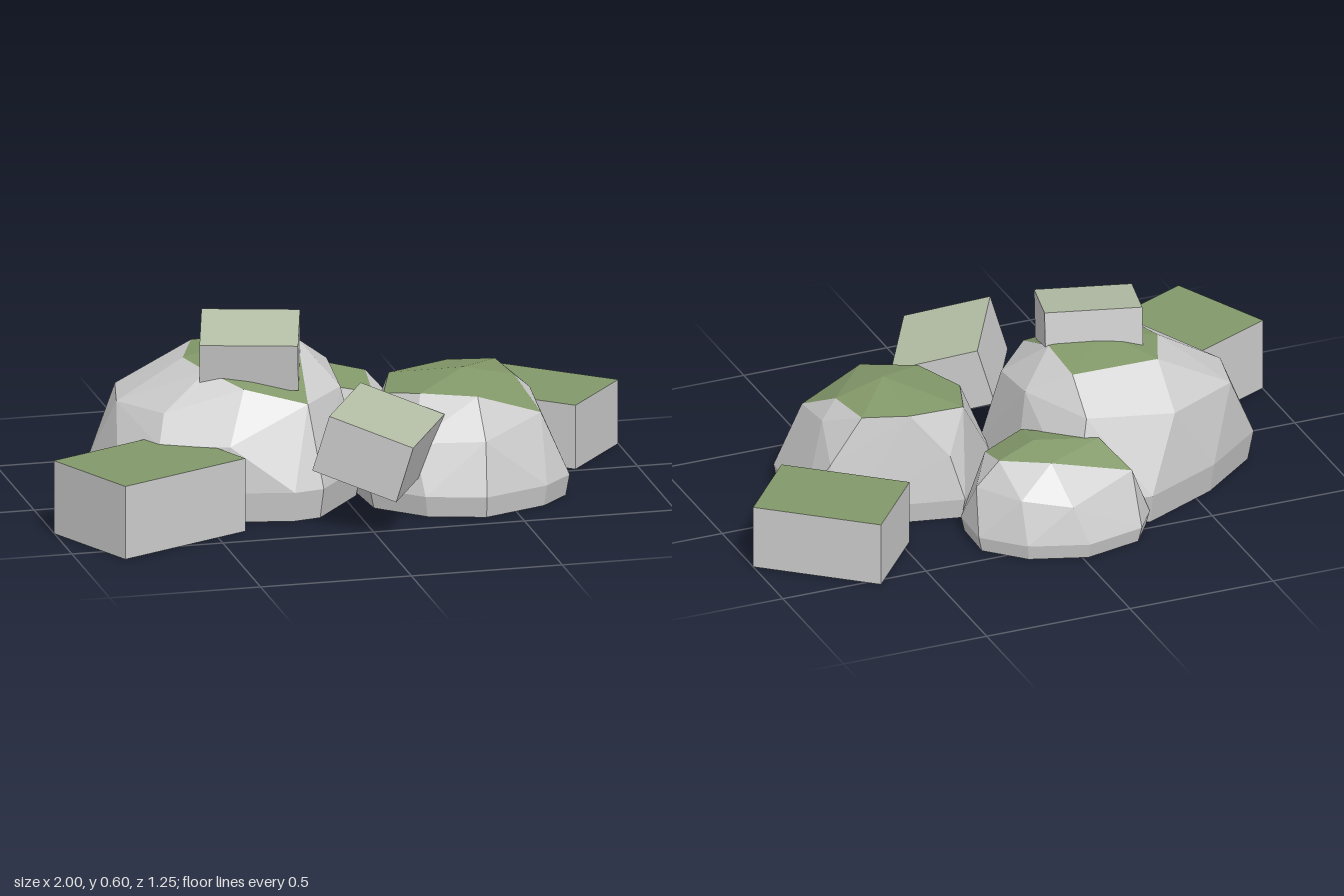
import * as THREE from 'three';
import { ConvexGeometry } from 'three/addons/geometries/ConvexGeometry.js';

const material = (color) =>
  new THREE.MeshStandardMaterial({ color, flatShading: true, side: THREE.DoubleSide });
const stone = material(0xcccccc);
const moss = material(0x829869);
const paleMoss = material(0xb4bea5);

// Faceted boulder, open underneath: a ground outline of [x, z] points plus [x, y, z] points above it.
// Facets that face upward become a separate moss cap.
function boulder(name, outline, girth, upper, mossSlope) {
  const points = upper.map((p) => new THREE.Vector3(...p));
  const centre = new THREE.Vector2();
  outline.forEach(([x, z]) => centre.add(new THREE.Vector2(x, z).divideScalar(outline.length)));
  for (const [x, z] of outline) {
    points.push(new THREE.Vector3(x, girth, z));
    const foot = new THREE.Vector2(x, z).sub(centre).multiplyScalar(0.96).add(centre);
    points.push(new THREE.Vector3(foot.x, 0, foot.y));
  }

  const hull = new ConvexGeometry(points).getAttribute('position');
  const rockFaces = [];
  const mossFaces = [];
  const triangle = new THREE.Triangle();
  const normal = new THREE.Vector3();
  for (let i = 0; i < hull.count; i += 3) {
    triangle.setFromAttributeAndIndices(hull, i, i + 1, i + 2);
    triangle.getNormal(normal);
    if (normal.y < -0.95) continue;
    const faces = normal.y > mossSlope ? mossFaces : rockFaces;
    faces.push(triangle.a.clone(), triangle.b.clone(), triangle.c.clone());
  }

  const group = new THREE.Group();
  group.name = name;
  for (const [part, faces, mat] of [['Rock', rockFaces, stone], ['Moss', mossFaces, moss]]) {
    const geometry = new THREE.BufferGeometry().setFromPoints(faces);
    geometry.computeVertexNormals();
    const mesh = new THREE.Mesh(geometry, mat);
    mesh.name = name + part;
    group.add(mesh);
  }
  return group;
}

// Cut stone block with a mossy top face; rotation is [pitch, turn, roll].
function block(name, size, position, rotation, top) {
  const mesh = new THREE.Mesh(new THREE.BoxGeometry(...size), [stone, stone, top, stone, stone, stone]);
  mesh.name = name;
  mesh.position.set(...position);
  mesh.rotation.set(...rotation, 'YXZ');
  return mesh;
}

export function createModel() {
  const model = new THREE.Group();
  model.name = 'rockPile';

  // Boulders
  model.add(
    boulder('largeBoulder', [
      [-0.78, -0.18], [-0.57, -0.35], [-0.3, -0.48], [-0.05, -0.44], [0.06, -0.2], [0.06, 0.1],
      [-0.12, 0.32], [-0.22, 0.34], [-0.4, 0.3], [-0.64, 0.2], [-0.75, 0.11],
    ], 0.1, [
      [-0.67, 0.33, -0.25], [-0.71, 0.325, -0.07], [-0.6, 0.33, 0.12], [-0.35, 0.41, 0.18],
      [-0.63, 0.24, 0.18], [-0.42, 0.25, 0.28], [-0.45, 0.45, 0.08],
      [-0.15, 0.36, 0.23], [0, 0.36, 0.06], [0.01, 0.39, -0.16], [-0.12, 0.36, -0.36],
      [-0.42, 0.33, -0.38], [-0.42, 0.46, -0.24], [-0.12, 0.465, -0.245],
      [-0.3, 0.5, -0.07], [-0.11, 0.49, -0.07], [-0.49, 0.455, -0.07],
    ], 0.88),
    boulder('sideBoulder', [
      [0.24, -0.21], [0.61, -0.13], [0.68, -0.1], [0.73, -0.04], [0.71, 0.26], [0.61, 0.36],
      [0.39, 0.445], [0.2, 0.39], [0.05, 0.25], [0.035, 0.05],
    ], 0.07, [
      [0.4, 0.405, 0.09], [0.55, 0.37, -0.09], [0.4, 0.365, -0.13], [0.2, 0.345, -0.1],
      [0.14, 0.33, 0.07], [0.23, 0.36, 0.2], [0.4, 0.36, 0.28], [0.57, 0.365, 0.08],
      [0.63, 0.31, 0.05], [0.62, 0.28, 0.24], [0.4, 0.24, 0.39], [0.18, 0.23, 0.32],
      [0.66, 0.22, -0.09], [0.28, 0.22, -0.18],
    ], 0.84),
    boulder('backBoulder', [
      [-0.29, -0.48], [-0.22, -0.58], [-0.02, -0.625], [0.17, -0.56], [0.29, -0.44],
      [0.285, -0.28], [0.21, -0.18], [0, -0.12], [-0.25, -0.25],
    ], 0.05, [
      [-0.15, 0.3, -0.39], [0.05, 0.285, -0.47], [0.06, 0.315, -0.35], [0.19, 0.275, -0.37],
      [0.04, 0.28, -0.2], [0.18, 0.24, -0.23], [-0.22, 0.22, -0.5], [0.02, 0.17, -0.58],
      [0.17, 0.19, -0.51], [0.265, 0.19, -0.36],
    ], 0.84),
  );

  // Blocks lying on the ground, one perched on top and one leaning at the front
  model.add(
    block('leftGroundBlock', [0.43, 0.215, 0.316], [0.734, 0.1075, -0.272], [0, -0.695, 0], moss),
    block('rightGroundBlock', [0.495, 0.245, 0.367], [-0.7, 0.1225, 0.329], [0, 0.432, 0], moss),
    block('topBlock', [0.317, 0.16, 0.262], [-0.291, 0.494, 0.025], [0.175, -0.27, 0], paleMoss),
    block('leaningBlock', [0.292, 0.195, 0.388], [0.047, 0.261, 0.376], [0, -0.508, -0.295], paleMoss),
  );
  return model;
}
